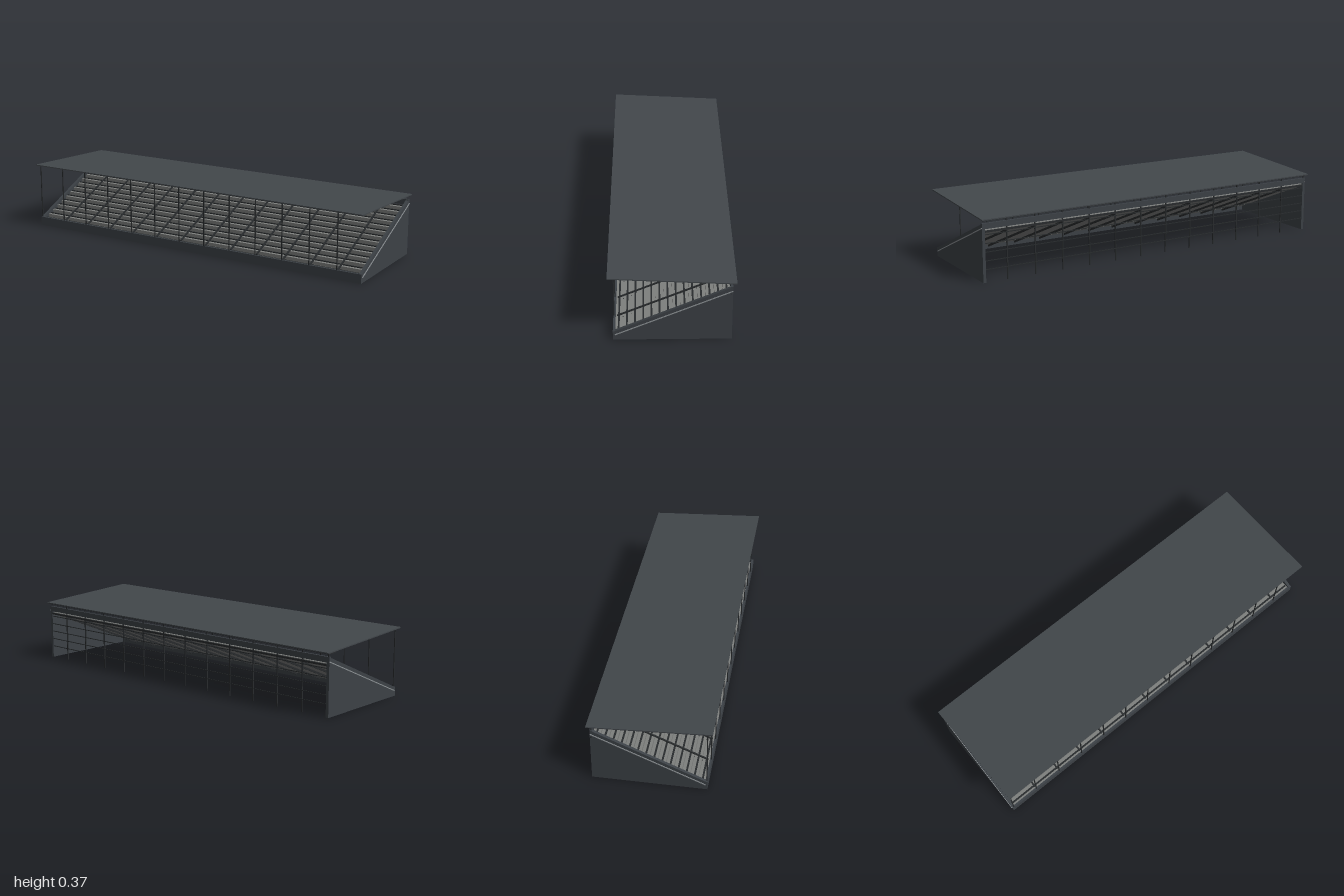
import * as THREE from 'three';

const mat = (name, color) => {
  const m = new THREE.MeshStandardMaterial({ color });
  m.name = name;
  return m;
};

export function createModel() {
  const roofMat = mat('roof slate', 0x42474b);
  const wallMat = mat('wall charcoal', 0x3c4146);
  const deckMat = mat('terrace grey', 0x7e807e);
  const steelMat = mat('dark steel', 0x282b2d);
  const trimMat = mat('pale trim', 0x8c9194);

  // The stand is built along x with its open front to +z, then turned as a whole
  const stand = new THREE.Group();
  stand.name = 'grandstand';
  const half = 1.045, front = 0.295, back = -0.303;

  const add = (name, geo, material) => {
    const m = new THREE.Mesh(geo, material);
    m.name = name;
    stand.add(m);
    return m;
  };
  const box = (name, material, w, h, d, x, y, z) => {
    const m = add(name, new THREE.BoxGeometry(w, h, d), material);
    m.position.set(x, y, z);
    return m;
  };
  // Bar lying in a z-y plane at a given x
  const slopeBar = (name, material, x, w, t, [z1, y1], [z2, y2]) => {
    const m = box(name, material, w, t, Math.hypot(z2 - z1, y2 - y1), x, (y1 + y2) / 2, (z1 + z2) / 2);
    m.rotation.x = -Math.atan2(y2 - y1, z2 - z1);
    return m;
  };
  // Side profile (z, y) extruded along x
  const extrudeAlong = (name, material, pts, width, xCentre) => {
    const shape = new THREE.Shape(pts.map(([z, y]) => new THREE.Vector2(z, y)));
    const geo = new THREE.ExtrudeGeometry(shape, { depth: width, bevelEnabled: false });
    geo.translate(0, 0, -width / 2).rotateY(-Math.PI / 2).translate(xCentre, 0, 0);
    return add(name, geo, material);
  };

  // Stepped terrace with a plain sloping underside
  const rows = 14, z0 = 0.285, z1 = -0.295, y0 = 0.03, y1 = 0.285;
  const tread = (z0 - z1) / rows, rise = (y1 - y0) / rows;
  const profile = [[z1, y1 - 0.02], [z0, y0 - 0.008]];
  for (let i = 0; i < rows; i++) {
    const y = y0 + (i + 0.5) * rise;
    profile.push([z0 - i * tread, y], [z0 - (i + 1) * tread, y]);
  }
  extrudeAlong('terrace', deckMat, profile, 2 * half - 0.03, 0);

  // Bench line on every row
  for (let i = 0; i < rows; i++) {
    box('bench', steelMat, 2 * half - 0.04, 0.005, 0.009,
      0, y0 + (i + 0.5) * rise + 0.004, z0 - (i + 0.45) * tread);
  }

  // End walls with a raised parapet and a pale strip along the slope
  for (const s of [-1, 1]) {
    extrudeAlong('endWall', wallMat,
      [[back, 0], [front, 0], [front, 0.05], [front - 0.012, 0.052], [back, 0.312]],
      0.016, s * (half - 0.008));
    slopeBar('endTrim', trimMat, s * (half + 0.001), 0.004, 0.005, [front - 0.01, 0.03], [back, 0.288]);
  }

  // Front wall and back parapet beams
  box('frontWall', wallMat, 2 * half - 0.01, 0.05, 0.012, 0, 0.025, front - 0.006);
  box('backParapet', wallMat, 2 * half, 0.03, 0.012, 0, 0.297, back + 0.006);
  box('backBeam', steelMat, 2 * half, 0.01, 0.008, 0, 0.268, back + 0.005);

  // Horizontal rails across the open back
  for (let i = 0; i < 5; i++) {
    box('backRail', steelMat, 2 * half - 0.02, 0.004, 0.004, 0, 0.068 + i * 0.046, back + 0.004);
  }

  // Frames: front column, back post, underside rafter, aisle rail and roof bracket
  const roofY = (z) => 0.352 + z * 0.054;
  for (let i = 0; i < 13; i++) {
    const x = -1.036 + i * 0.1617;
    const hFront = roofY(front) - 0.04, hBack = roofY(back);
    box('frontColumn', steelMat, 0.005, hFront, 0.005, x, 0.04 + hFront / 2, front - 0.004);
    box('backPost', steelMat, 0.006, hBack, 0.006, x, hBack / 2, back + 0.006);
    box('roofBracket', steelMat, 0.005, 0.005, 0.06, x, 0.326, back + 0.033);
    if (i === 0) continue;
    slopeBar('rafter', steelMat, x, 0.006, 0.012, [z0, y0 - 0.013], [z1, y1 - 0.025]);
    slopeBar('aisleRail', steelMat, x, 0.009, 0.006, [z0 - 0.01, y0 + 0.018], [z1, y1 + 0.012]);
  }

  // Thin roof rising towards the front
  slopeBar('roof', roofMat, 0, 2.104, 0.006, [0.318, roofY(0.318)], [-0.322, roofY(-0.322)]);
  box('roofBackEdge', steelMat, 2.09, 0.008, 0.006, 0, roofY(-0.31) - 0.004, -0.31);

  stand.rotation.y = -0.7235;
  const model = new THREE.Group();
  model.name = 'model';
  model.add(stand);
  return model;
}
